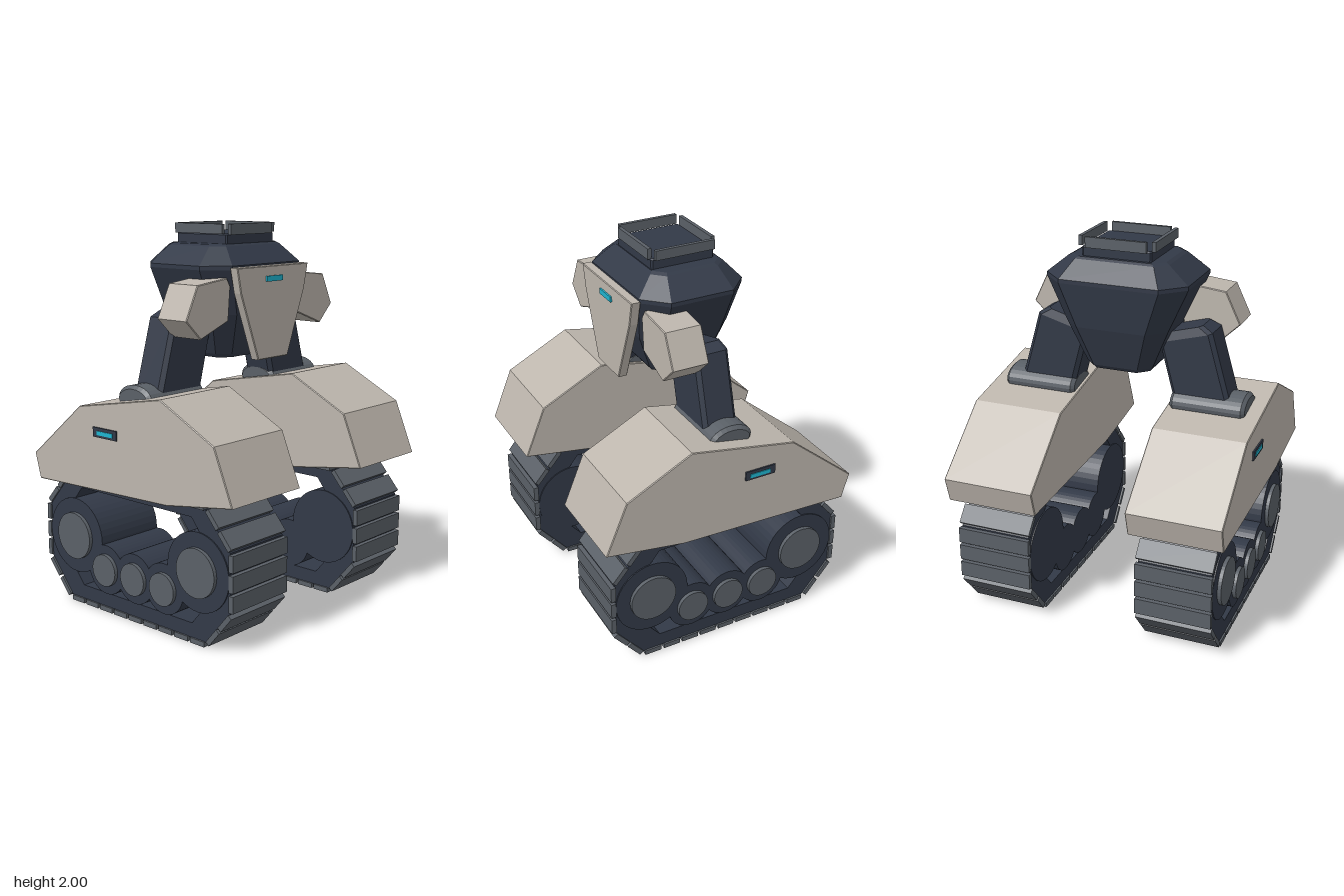
import * as THREE from 'three';

const flat = (name, color) => {
  const m = new THREE.MeshStandardMaterial({ color, flatShading: true });
  m.name = name;
  return m;
};

export function createModel() {
  const armour = flat('warm grey armour', 0xbdb6ad);
  const navy = flat('dark navy frame', 0x323947);
  const steel = flat('steel grey', 0x5a6067);
  const cyan = flat('cyan light', 0x1fb4cf);
  const model = new THREE.Group();
  model.name = 'trackedWalker';

  const add = (parent, name, geo, mat, x = 0, y = 0, z = 0) => {
    const m = new THREE.Mesh(geo, mat);
    m.name = name;
    m.position.set(x, y, z);
    parent.add(m);
    return m;
  };
  const box = (w, h, d) => new THREE.BoxGeometry(w, h, d);
  const cylX = (r, len) => new THREE.CylinderGeometry(r, r, len, 40).rotateZ(Math.PI / 2);

  // Extrusion of depth d, centred on its depth, with a small bevel
  const extrude = (pts, d, bevel = 0.004, hole) => {
    const shape = new THREE.Shape(pts.map(p => new THREE.Vector2(...p)));
    if (hole) shape.holes.push(new THREE.Path(hole.map(p => new THREE.Vector2(...p))));
    const g = new THREE.ExtrudeGeometry(shape, {
      depth: d - 2 * bevel, bevelEnabled: bevel > 0, bevelSize: bevel,
      bevelThickness: bevel, bevelOffset: -bevel, bevelSegments: 1,
    });
    return g.translate(0, 0, -(d - 2 * bevel) / 2);
  };
  // Side profile given as [z, y], extruded along x
  const extrudeX = (pts, d, bevel, hole) => {
    const flip = a => a && a.map(([z, y]) => [-z, y]);
    return extrude(flip(pts), d, bevel, flip(hole)).rotateY(Math.PI / 2);
  };

  // Loft through chamfered rectangles [y, halfX, zFront, zBack, chamfer]
  const loft = sections => {
    const rings = sections.map(([y, h, f, b, c]) => [
      [h, y, f - c], [h, y, b + c], [h - c, y, b], [c - h, y, b],
      [-h, y, b + c], [-h, y, f - c], [c - h, y, f], [h - c, y, f]]);
    const pos = [];
    const tri = (...p) => p.forEach(v => pos.push(...v));
    for (let k = 0; k < rings.length - 1; k++) {
      for (let i = 0; i < 8; i++) {
        const j = (i + 1) % 8, lo = rings[k], hi = rings[k + 1];
        tri(lo[i], lo[j], hi[j]);
        tri(lo[i], hi[j], hi[i]);
      }
    }
    const lo = rings[0], hi = rings[rings.length - 1];
    for (let i = 1; i < 7; i++) {
      tri(lo[0], lo[i + 1], lo[i]);
      tri(hi[0], hi[i], hi[i + 1]);
    }
    const g = new THREE.BufferGeometry();
    g.setAttribute('position', new THREE.Float32BufferAttribute(pos, 3));
    g.computeVertexNormals();
    return g;
  };

  // Torso
  add(model, 'torso', loft([
    [1.315, 0.165, 0.13, -0.185, 0.055],
    [1.335, 0.18, 0.145, -0.2, 0.06],
    [1.55, 0.275, 0.235, -0.265, 0.09],
    [1.78, 0.38, 0.275, -0.297, 0.115],
    [1.8, 0.38, 0.275, -0.297, 0.115],
    [1.89, 0.27, 0.185, -0.215, 0.06],
    [1.9, 0.25, 0.17, -0.2, 0.055],
  ]), navy);

  // Turret ring with four rails
  add(model, 'neckBase', loft([
    [1.88, 0.185, 0.165, -0.18, 0.008], [1.945, 0.185, 0.165, -0.18, 0.008],
    [1.952, 0.178, 0.158, -0.173, 0.008],
  ]), navy);
  for (const s of [1, -1]) {
    add(model, 'sideRail', box(0.02, 0.05, 0.325), steel, s * 0.196, 1.975, -0.01);
    add(model, 'crossRail', box(0.325, 0.055, 0.02), steel, 0, 1.9725, -0.01 + s * 0.174);
  }

  // Chest plate with its light
  add(model, 'chestPlate', extrude([
    [-0.28, 1.792], [-0.252, 1.665], [-0.117, 1.32],
    [0.117, 1.32], [0.252, 1.665], [0.28, 1.792],
  ], 0.05), armour, 0, 0, 0.297);
  add(model, 'chestLight', box(0.124, 0.028, 0.009), cyan, 0, 1.728, 0.3265);

  const coverProfile = [[0.705, 0.748], [0.592, 1.022], [0.245, 1.197], [-0.332, 1.092],
    [-0.701, 0.79], [-0.663, 0.655], [0.28, 0.683]];
  const beltOuter = [[-0.49, 0.024], [0.49, 0.024], [0.645, 0.21], [0.645, 0.51],
    [0.49, 0.69], [-0.49, 0.69], [-0.645, 0.51], [-0.645, 0.21]];
  // Listed the other way round, as the hole of the belt
  const beltInner = [[-0.57, 0.31], [-0.57, 0.42], [-0.395, 0.637], [0.395, 0.637],
    [0.57, 0.42], [0.57, 0.31], [0.395, 0.1], [-0.395, 0.1]];
  const padCounts = [9, 2, 3, 2, 9, 2, 3, 2];
  const wheels = [[0.44, 0.37, 0.202, 0.125], [-0.44, 0.37, 0.202, 0.125],
    [0.21, 0.23, 0.132, 0.085], [0, 0.23, 0.132, 0.085], [-0.21, 0.23, 0.132, 0.085]];
  const hipProfile = Array.from({ length: 24 }, (_, i) => {
    const a = i / 24 * Math.PI * 2;
    return [0.118 * Math.cos(a), 0.072 * Math.sin(a)];
  });

  for (const s of [1, -1]) {
    const side = new THREE.Group();
    side.name = s > 0 ? 'leftSide' : 'rightSide';
    model.add(side);

    // Leg and hip
    const leg = add(side, 'leg', loft([
      [-0.26, 0.15, 0.092, -0.095, 0.02], [0.18, 0.145, 0.092, -0.095, 0.02],
      [0.225, 0.1, 0.075, -0.08, 0.02],
    ]), navy, s * 0.388, 1.33, -0.01);
    leg.rotation.z = s * 0.27;
    add(side, 'hipMount', extrudeX(hipProfile, 0.4, 0.018), steel, s * 0.47, 1.15, -0.022);

    // Shoulder armour
    add(side, 'shoulderArmour', extrude([
      [0.285, 1.742], [0.497, 1.719], [0.578, 1.552], [0.476, 1.454],
      [0.275, 1.528], [0.26, 1.7],
    ].map(([x, y]) => [s * x, y]), 0.195), armour, 0, 0, 0.161);

    // Track cover with side light
    add(side, 'trackCover', extrudeX(coverProfile, 0.498), armour, s * 0.501);
    add(side, 'lightFrame', box(0.012, 0.05, 0.17), navy, s * 0.752, 0.975, -0.14);
    add(side, 'sideLight', box(0.008, 0.021, 0.114), cyan, s * 0.758, 0.973, -0.136);

    // Track belt and tread pads
    const track = new THREE.Group();
    track.name = 'track';
    track.position.set(s * 0.496, 0, -0.006);
    side.add(track);
    add(track, 'trackBelt', extrudeX(beltOuter, 0.385, 0, beltInner), navy);
    beltOuter.forEach(([z0, y0], e) => {
      const [z1, y1] = beltOuter[(e + 1) % 8];
      const dz = z1 - z0, dy = y1 - y0, len = Math.hypot(dz, dy), n = padCounts[e];
      for (let i = 0; i < n; i++) {
        const t = (i + 0.5) / n;
        const pad = add(track, 'treadPad', box(0.404, 0.026, len / n - 0.016), steel, 0,
          y0 + dy * t - dz / len * 0.011, z0 + dz * t + dy / len * 0.011);
        pad.rotation.x = -Math.atan2(dy, dz);
      }
    });

    // Road wheels with outer hubs
    for (const [z, y, r, hub] of wheels) {
      add(track, 'wheel', cylX(r, 0.398), navy, 0, y, z);
      add(track, 'wheelHub', cylX(hub, 0.03), steel, s * 0.204, y, z);
    }
  }
  return model;
}
